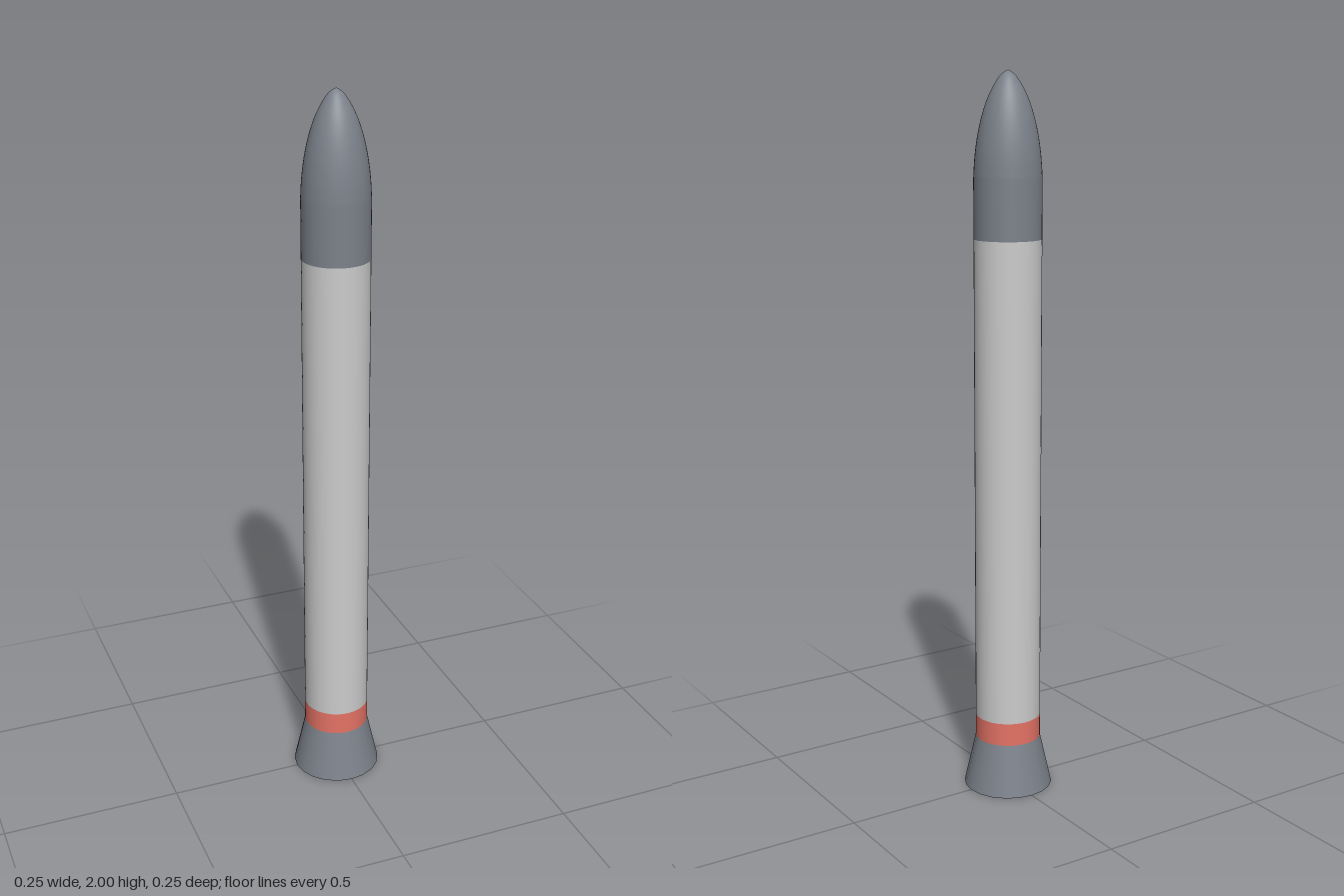
import * as THREE from 'three';

export function createModel() {
  const rocket = new THREE.Group();
  rocket.name = 'rocket';
  const R = 0.092;
  const grey = new THREE.MeshStandardMaterial({ color: 0xcccccc });
  const slate = new THREE.MeshStandardMaterial({ color: 0x7c828b });
  const red = new THREE.MeshStandardMaterial({ color: 0xe57366 });

  const add = (name, geometry, material, y = 0) => {
    const mesh = new THREE.Mesh(geometry, material);
    mesh.name = name;
    mesh.position.y = y;
    rocket.add(mesh);
  };

  // Straight or tapered section between two heights
  const section = (name, y0, y1, rBottom, rTop, sides, material) =>
    add(name, new THREE.CylinderGeometry(rTop, rBottom, y1 - y0, sides), material, (y0 + y1) / 2);

  section('engineSkirt', 0, 0.145, 0.125, R, 20, slate);
  section('redBand', 0.145, 0.21, R, R, 48, red);
  section('bodyTube', 0.21, 1.56, R, R, 48, grey);

  // Nose fairing: short straight wall, then a curved nose with a small rounded tip
  const wall = [new THREE.Vector2(0, 1.56), new THREE.Vector2(R, 1.56), new THREE.Vector2(R, 1.56)];
  const curve = new THREE.SplineCurve([
    [R, 1.72], [0.089, 1.77], [0.082, 1.825], [0.070, 1.88],
    [0.053, 1.93], [0.032, 1.97], [0.016, 1.99], [0, 2],
  ].map(([x, y]) => new THREE.Vector2(x, y)));
  const profile = [...wall.slice(1, 2), ...curve.getPoints(28)];
  profile[profile.length - 1].set(0, 2);
  add('noseFairing', new THREE.LatheGeometry(profile, 48), slate);

  return rocket;
}
